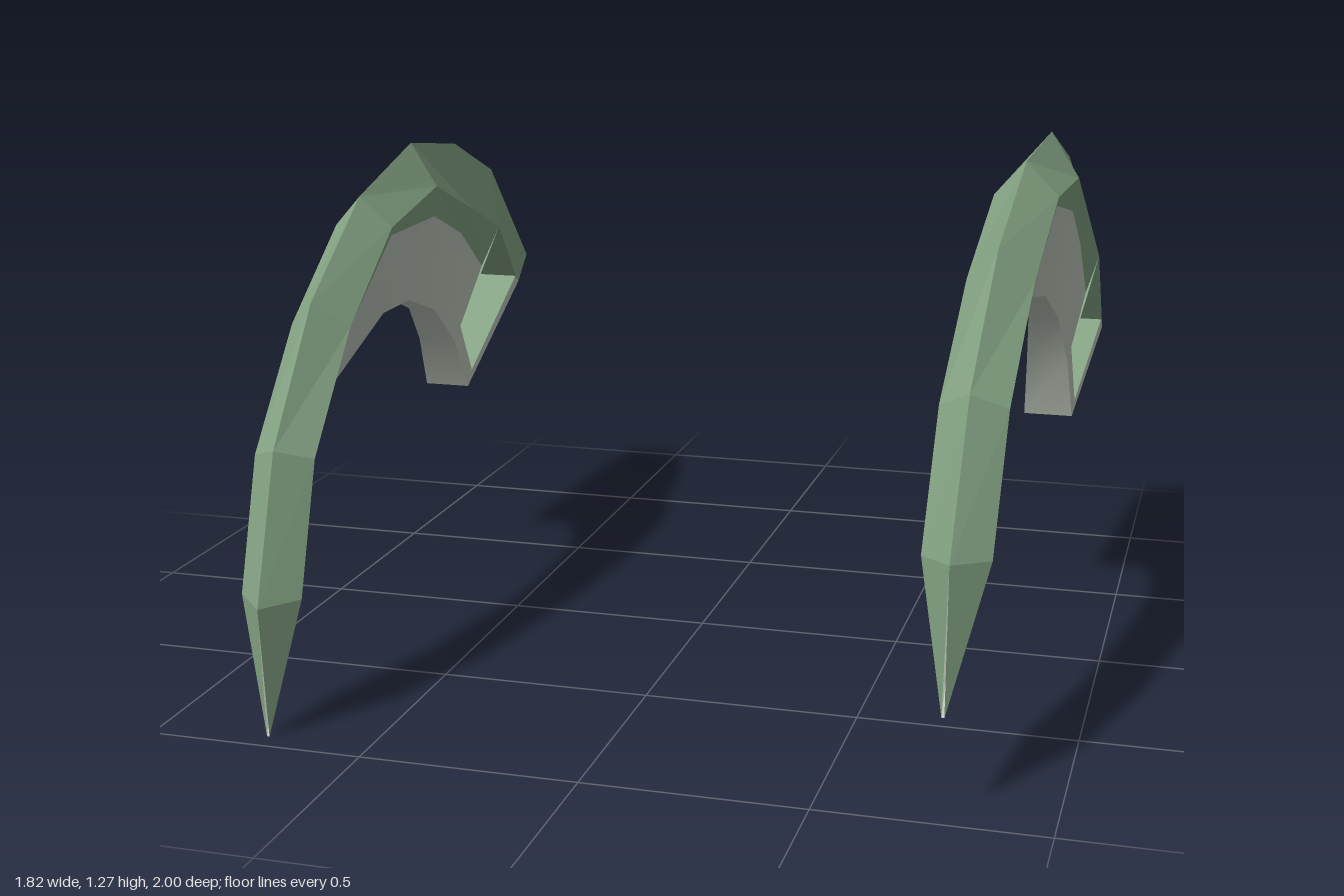
import * as THREE from 'three';
import { mergeVertices } from 'three/addons/utils/BufferGeometryUtils.js';

// Profile points are [z, y, half width]; stations run from the tip to the rear.
const tip = [1.0, 0.24, 0.003];
const ridge = [[1.0, 0.56, 0], [0.85, 0.87, 0], [0.58, 1.115, 0], [0.24, 1.255, 0],
  [-0.14, 1.275, 0], [-0.49, 1.17, 0], [-0.81, 1.0, 0]];
const shoulder = [[0.92, 0.55, 0.072], [0.79, 0.83, 0.072], [0.53, 1.04, 0.072], [0.22, 1.175, 0.072],
  [-0.12, 1.17, 0.072], [-0.4, 1.02, 0.072], [-0.64, 0.89, 0.072]];
const seam = [...shoulder.slice(0, 3), [0.22, 1.155, 0.069], [-0.12, 1.09, 0.062],
  [-0.34, 0.97, 0.058], [-0.52, 0.81, 0.058]];
const inner = [[0.83, 0.58, 0.005], [0.65, 0.79, 0.008], [0.5, 0.89, 0.012], [0.17, 0.935, 0.018],
  [0, 0.905, 0.024], [-0.16, 0.82, 0.036], [-0.27, 0.69, 0.05]];

// Rear frame corners
const heel = [-0.34, 0.53, 0.06], hip = [-0.81, 0.665, 0.072], tail = [-1.0, 0.68, 0.043];
const apex = ridge[6], holeTop = shoulder[6];
const holeFront = [-0.32, 0.712, 0.052], holeLow = [-0.38, 0.562, 0.06], holeBack = [-0.785, 0.69, 0.071];

function createClaw(name, place, green, pale) {
  const group = new THREE.Group();
  group.name = name;

  function addMesh(part, polygons, material, smooth = false) {
    const data = [];
    for (const poly of polygons) {
      for (let i = 1; i < poly.length - 1; i++) {
        for (const p of [poly[0], poly[i], poly[i + 1]]) data.push(...place(p));
      }
    }
    let geometry = new THREE.BufferGeometry();
    geometry.setAttribute('position', new THREE.Float32BufferAttribute(data, 3));
    if (smooth) geometry = mergeVertices(geometry, 1e-4);
    geometry.computeVertexNormals();
    const mesh = new THREE.Mesh(geometry, material);
    mesh.name = part;
    group.add(mesh);
  }

  // Puts a side polygon on one flank, reversing it on the mirrored one
  const onSide = (poly, s) => {
    const pts = poly.map(([z, y, h]) => [s * h, y, z]);
    return s > 0 ? pts : pts.reverse();
  };
  // Quads between two lines of stations
  const strip = (a, b) => a.slice(1).map((_, j) => [a[j], b[j], b[j + 1], a[j + 1]]);
  // Faces crossing the full width along a path
  const across = (path) => path.slice(1).map((q, j) => {
    const p = path[j];
    return [[p[2], p[1], p[0]], [-p[2], p[1], p[0]], [-q[2], q[1], q[0]], [q[2], q[1], q[0]]];
  });

  for (const s of [1, -1]) {
    const label = s > 0 ? 'left' : 'right';
    const flank = (polys) => polys.map((poly) => onSide(poly, s));
    // Outer shell from the ridge to the shoulder, with the tip
    addMesh(label + 'Shell', flank([[ridge[0], tip, shoulder[0]], ...strip(ridge, shoulder)]), green);
    // Lower shell in front of the opening
    addMesh(label + 'LowerShell', flank(strip(shoulder.slice(2), seam.slice(2))), green);
    // Solid rear end
    addMesh(label + 'Rear', flank([[apex, holeTop, hip], [apex, hip, tail], [holeTop, holeBack, hip]]), green);
    // Smooth blade side
    addMesh(label + 'Blade', flank([[shoulder[0], tip, inner[0]], ...strip(seam, inner)]), pale, true);
    // Thin rails around the opening
    addMesh(label + 'Rails', flank([[inner[6], holeFront, holeLow, heel].reverse(),
      [holeLow, heel, hip, holeBack]]), pale);
  }

  addMesh('innerEdge', across([tip, ...inner, heel]), pale, true);
  addMesh('underside', across([heel, hip, tail]), pale);
  addMesh('endFace', across([tail, apex]), pale);
  addMesh('openingWalls', across([holeFront, holeTop, holeBack, holeLow, holeFront]), green);
  return group;
}

export function createModel() {
  const green = new THREE.MeshStandardMaterial({ color: 0x86a585, side: THREE.DoubleSide });
  green.name = 'sage green';
  const pale = new THREE.MeshStandardMaterial({ color: 0xc2cbbf, side: THREE.DoubleSide });
  pale.name = 'pale grey';

  const model = new THREE.Group();
  model.name = 'clawPair';

  // Left claw, leaning slightly outward toward the rear
  const placeLeft = ([x, y, z]) => [x + 0.8 - 0.033 * z + 0.013 * y, y, z];

  // Right claw, pitched forward about its heel
  const c = Math.cos(0.157), n = Math.sin(0.157);
  const placeRight = ([x, y, z]) => {
    const dz = z - heel[0], dy = y - heel[1];
    const z2 = heel[0] + 0.012 + dz * c + dy * n;
    const y2 = heel[1] - 0.025 + dy * c - dz * n;
    return [x - 0.809 + 0.071 * z2 + 0.038 * y2, y2, z2];
  };

  model.add(createClaw('leftClaw', placeLeft, green, pale));
  model.add(createClaw('rightClaw', placeRight, green, pale));
  return model;
}
